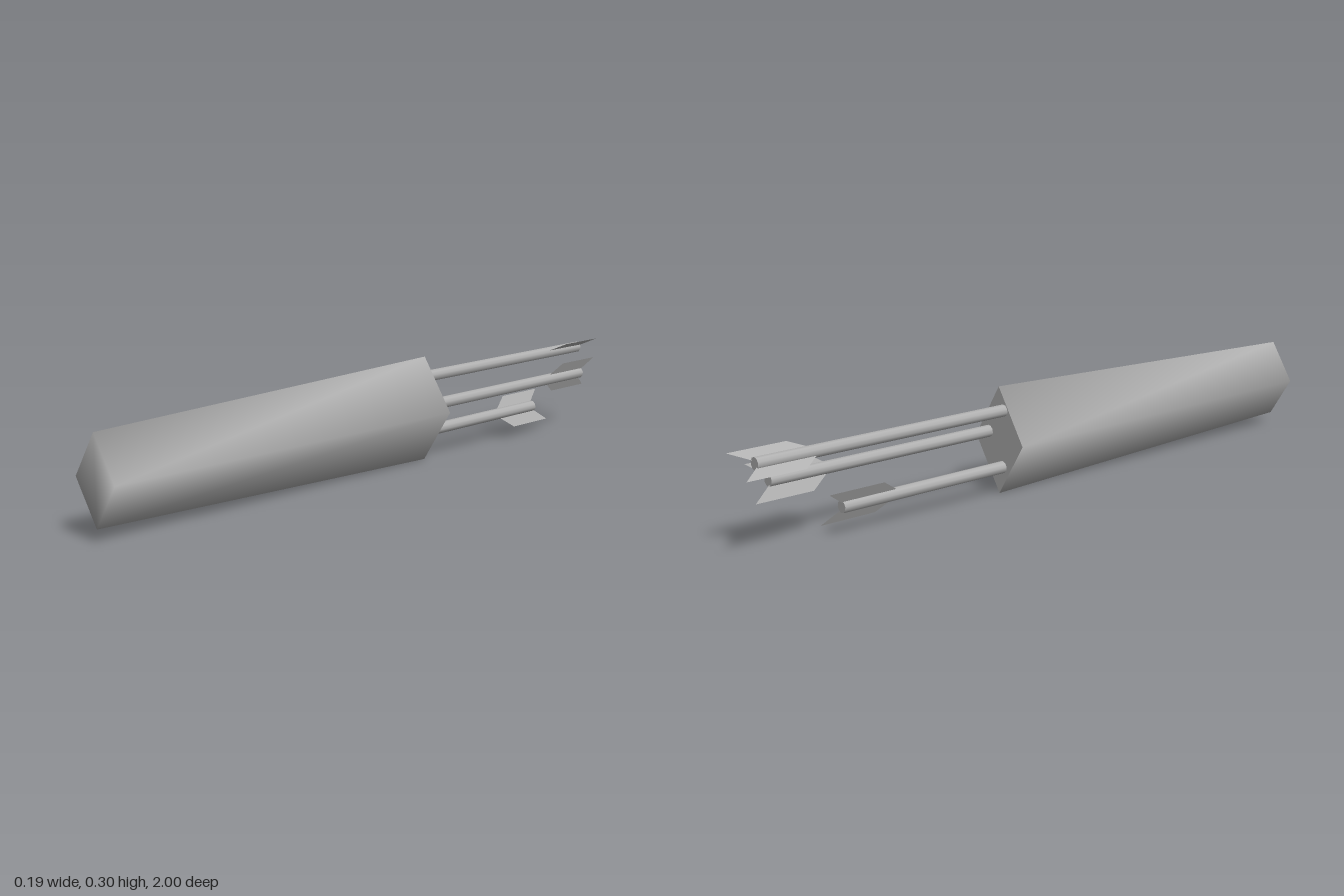
import * as THREE from 'three';

const gray = new THREE.MeshStandardMaterial({ color: 0xb0b0b0, side: THREE.DoubleSide });
gray.name = 'plain gray';

// Tapered diamond case: smooth sides and nose, flat rear plate
function quiverGeometry() {
  const ring = (w, top, bottom, z) => {
    const mid = 0.153;
    return [0, top, z, -w, mid, z, 0, bottom, z, w, mid, z];
  };
  const front = ring(0.075, 0.27, 0.036, 1);
  const back = ring(0.097, 0.305, 0.002, -0.17);
  const index = [0, 1, 2, 0, 2, 3]; // nose
  for (let i = 0; i < 4; i++) {
    const j = (i + 1) % 4;
    index.push(i, 4 + i, 4 + j, i, 4 + j, j);
  }
  index.push(8, 10, 9, 8, 11, 10); // rear plate, own corners
  const g = new THREE.BufferGeometry();
  g.setAttribute('position', new THREE.Float32BufferAttribute([...front, ...back, ...back], 3));
  g.setIndex(index);
  g.computeVertexNormals();
  return g;
}

// Swept vane outline: x is distance from the shaft, y is distance ahead of the tail tip
const vaneGeometry = new THREE.ShapeGeometry(new THREE.Shape([
  new THREE.Vector2(0, 0.05),
  new THREE.Vector2(0.012, 0.05),
  new THREE.Vector2(0.051, 0),
  new THREE.Vector2(0.051, 0.168),
  new THREE.Vector2(0.012, 0.222),
  new THREE.Vector2(0, 0.222),
]));
vaneGeometry.rotateX(Math.PI / 2);

function createArrow(x, y, tail, angle) {
  const arrow = new THREE.Group();
  arrow.name = 'arrow';
  arrow.position.set(x, y, tail);
  arrow.rotation.z = THREE.MathUtils.degToRad(angle);

  const start = 0.05;
  const length = -0.165 - tail - start;
  const shaft = new THREE.Mesh(new THREE.CylinderGeometry(0.017, 0.017, length, 10), gray);
  shaft.name = 'shaft';
  shaft.rotation.x = Math.PI / 2;
  shaft.position.z = start + length / 2;
  arrow.add(shaft);

  // Pair of opposite vanes
  for (const turn of [0, Math.PI]) {
    const vane = new THREE.Mesh(vaneGeometry, gray);
    vane.name = 'vane';
    vane.rotation.z = turn;
    arrow.add(vane);
  }
  return arrow;
}

export function createModel() {
  const model = new THREE.Group();
  model.name = 'quiverWithArrows';

  const quiver = new THREE.Mesh(quiverGeometry(), gray);
  quiver.name = 'quiver';
  model.add(quiver);

  // x, y, tail z, vane angle
  model.add(
    createArrow(-0.019, 0.241, -1, 31),
    createArrow(0.043, 0.172, -0.928, 65),
    createArrow(-0.014, 0.08, -0.754, 117),
  );
  return model;
}
